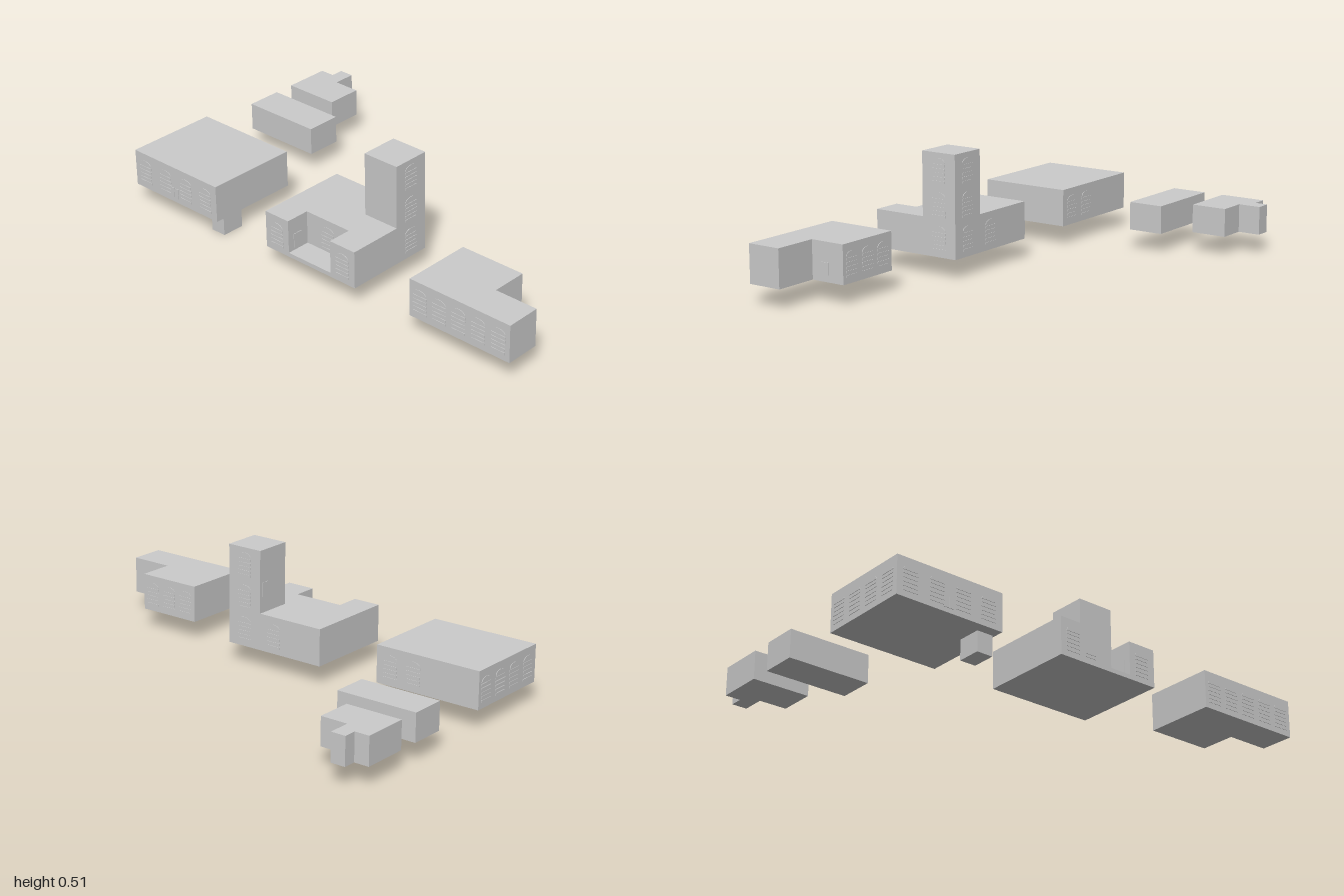
import * as THREE from 'three';

const grey = new THREE.MeshStandardMaterial({ color: 0xcccccc, flatShading: true });
const BASE = 0.085; // underside of every building
const ROOF = 0.245;
const LOW_ROOF = 0.205;

// Walls extruded upward from a footprint of [x, z] corners
function block(parent, name, corners, y0, y1) {
  const shape = new THREE.Shape(corners.map(([x, z]) => new THREE.Vector2(x, -z)));
  const geo = new THREE.ExtrudeGeometry(shape, { depth: y1 - y0, bevelEnabled: false });
  geo.rotateX(-Math.PI / 2).translate(0, y0, 0);
  const mesh = new THREE.Mesh(geo, grey);
  mesh.name = name;
  parent.add(mesh);
}

const rect = (x0, x1, z0, z1) => [[x0, z0], [x1, z0], [x1, z1], [x0, z1]];

// Rotation about y that turns a +z facing panel to each wall direction
const FACING = { front: 0, left: Math.PI / 2, back: Math.PI, right: -Math.PI / 2 };

function place(parent, object, name, facing, x, y, z) {
  object.name = name;
  object.position.set(x, y, z);
  object.rotation.y = FACING[facing];
  parent.add(object);
}

// Arched louvred window: stacked slats under a half-round head
const slatGeo = new THREE.BoxGeometry(0.066, 0.009, 0.004);
const headShape = new THREE.Shape();
headShape.absellipse(0, 0, 0.033, 0.02, 0, Math.PI);
headShape.closePath();
const headGeo = new THREE.ExtrudeGeometry(headShape, { depth: 0.004, bevelEnabled: false, curveSegments: 8 });
headGeo.translate(0, 0, -0.002);

function archedWindow(parent, facing, x, y, z) {
  const win = new THREE.Group();
  for (let i = 0; i < 5; i++) {
    const slat = new THREE.Mesh(slatGeo, grey);
    slat.name = 'windowSlat';
    slat.position.y = -0.045 + i * 0.017;
    win.add(slat);
  }
  const head = new THREE.Mesh(headGeo, grey);
  head.name = 'windowHead';
  head.position.y = 0.033;
  win.add(head);
  place(parent, win, 'archedWindow', facing, x, y, z);
}

// Door made of one or more narrow leaves
function door(parent, facing, x, y, z, width, height, leaves = 1) {
  const group = new THREE.Group();
  const w = width / leaves;
  for (let i = 0; i < leaves; i++) {
    const leaf = new THREE.Mesh(new THREE.BoxGeometry(w - 0.002, height, 0.005), grey);
    leaf.name = 'doorLeaf';
    leaf.position.x = (i - (leaves - 1) / 2) * w;
    group.add(leaf);
  }
  place(parent, group, 'door', facing, x, y, z);
}

function building(root, name) {
  const g = new THREE.Group();
  g.name = name;
  root.add(g);
  return g;
}

export function createModel() {
  const root = new THREE.Group();
  root.name = 'buildingCluster';
  const rowY = 0.16; // window row height

  // Square hall with a cellar annex underneath
  const hall = building(root, 'squareHall');
  block(hall, 'hallWalls', rect(-1, -0.52, 0.18, 0.585), BASE, ROOF);
  block(hall, 'cellarAnnex', rect(-0.6, -0.53, 0.44, 0.54), 0, BASE);
  for (const x of [-0.94, -0.82, -0.7, -0.585]) archedWindow(hall, 'front', x, rowY, 0.585);
  for (const x of [-0.585, -0.695]) archedWindow(hall, 'back', x, rowY, 0.18);
  for (const z of [0.23, 0.33, 0.43, 0.53]) archedWindow(hall, 'right', -1, rowY, z);
  door(hall, 'front', -0.767, 0.127, 0.585, 0.045, 0.046, 2);

  // Central building: floor slab, U-shaped walls round the entrance, corner tower
  const main = building(root, 'towerBuilding');
  block(main, 'floorSlab', rect(-0.235, 0.24, 0.18, 0.585), BASE, 0.103);
  block(main, 'mainWalls', [
    [-0.235, 0.18], [0.24, 0.18], [0.24, 0.585], [0.113, 0.585],
    [0.113, 0.48], [-0.112, 0.48], [-0.112, 0.585], [-0.235, 0.585],
  ], 0.103, ROOF);
  block(main, 'tower', rect(0.075, 0.24, 0.18, 0.345), ROOF, 0.515);
  for (const x of [-0.175, 0.175]) archedWindow(main, 'front', x, rowY, 0.585);
  archedWindow(main, 'front', 0, rowY, 0.48);
  archedWindow(main, 'back', 0.005, rowY, 0.18);
  for (const y of [rowY, 0.3, 0.44]) {
    archedWindow(main, 'left', 0.24, y, 0.263);
    archedWindow(main, 'back', 0.158, y, 0.18);
  }
  door(main, 'left', -0.112, 0.145, 0.535, 0.045, 0.062);
  door(main, 'right', 0.113, 0.145, 0.535, 0.045, 0.062);
  door(main, 'right', 0.075, 0.345, 0.215, 0.04, 0.062);

  // L-shaped wing
  const wing = building(root, 'cornerWing');
  block(wing, 'wingWalls', [
    [0.52, 0.28], [0.81, 0.28], [0.81, 0.435], [1, 0.435], [1, 0.585], [0.52, 0.585],
  ], BASE, ROOF);
  for (let i = 0; i < 5; i++) archedWindow(wing, 'front', 0.57 + i * 0.094, rowY, 0.585);
  for (const x of [0.572, 0.665, 0.76]) archedWindow(wing, 'back', x, rowY, 0.28);
  door(wing, 'left', 0.81, 0.132, 0.372, 0.044, 0.062);

  // Two low outbuildings at the rear
  const sheds = building(root, 'outbuildings');
  block(sheds, 'longShed', rect(-1, -0.64, -0.24, -0.085), BASE, LOW_ROOF);
  block(sheds, 'steppedShed', [
    [-1, -0.33], [-0.75, -0.33], [-0.75, -0.487], [-0.87, -0.487],
    [-0.87, -0.585], [-0.935, -0.585], [-0.935, -0.53], [-1, -0.53],
  ], BASE, LOW_ROOF);

  return root;
}
